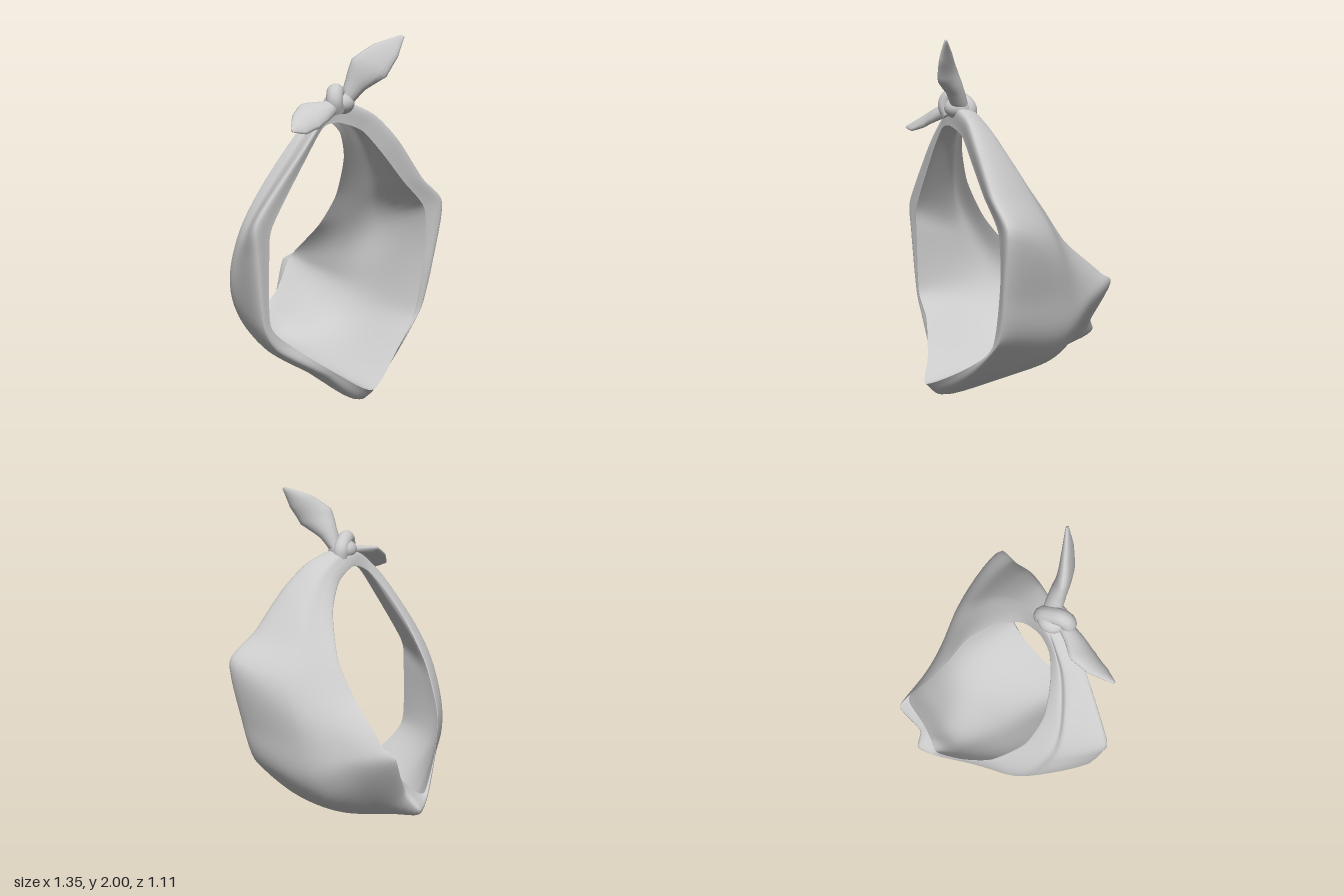
import * as THREE from 'three';

const V = (x, y, z) => new THREE.Vector3(x, y, z);
const cloth = new THREE.MeshStandardMaterial({ color: 0xcccccc, side: THREE.DoubleSide });

const toPoints = (n) => {
  const out = [];
  for (let i = 0; i < n.length; i += 3) out.push(V(n[i], n[i + 1], n[i + 2]));
  return out;
};

// Skins a list of closed rings that share one point count
function loft(rings) {
  const n = rings[0].length, pos = [], idx = [];
  rings.forEach((r) => r.forEach((p) => pos.push(p.x, p.y, p.z)));
  for (let j = 0; j < rings.length - 1; j++) {
    for (let i = 0; i < n; i++) {
      const k = (i + 1) % n, a = j * n + i, b = j * n + k;
      idx.push(a, b, a + n, b, b + n, a + n);
    }
  }
  const g = new THREE.BufferGeometry();
  g.setAttribute('position', new THREE.Float32BufferAttribute(pos, 3));
  g.setIndex(idx);
  g.computeVertexNormals();
  return g;
}

// Control rings, running from the top round the left side to the bottom and back
const HEM = toPoints([
  -.1, 1.54, .35, .06, 1.49, .35, .2, 1.36, .36, .36, 1.19, .365,
  .53, 1.02, .365, .54, .75, .36, .46, .4, .365, .27, .24, .43,
  -.02, .09, .55, -.2, .19, .46, -.43, .36, .37, -.57, .5, .36,
  -.58, .87, .365, -.56, 1.03, .37, -.33, 1.37, .36, -.21, 1.52, .35]);
const FRONT = toPoints([
  -.08, 1.65, .34, .14, 1.58, .35, .31, 1.43, .37, .5, 1.2, .375,
  .665, 1.045, .375, .605, .7, .365, .53, .44, .355, .29, .21, .4,
  -.03, .01, .45, -.25, .17, .4, -.52, .345, .355, -.615, .5, .355,
  -.665, .88, .365, -.658, 1.06, .37, -.36, 1.41, .37, -.2, 1.58, .35]);
const MIDDLE = toPoints([
  -.08, 1.64, .25, .1, 1.56, .225, .265, 1.39, .175, .4, 1.16, .09,
  .51, .92, .01, .48, .62, -.06, .42, .38, -.1, .25, .2, -.08,
  0, .11, 0, -.2, .17, -.04, -.4, .32, -.03, -.535, .52, -.02,
  -.58, .79, .07, -.545, 1.03, .16, -.35, 1.38, .25, -.2, 1.56, .26]);
const BACK = toPoints([
  -.09, 1.56, .22, .04, 1.48, .185, .15, 1.32, .09, .225, 1.08, -.07,
  .215, .88, -.22, .21, .68, -.46, .18, .61, -.555, .07, .37, -.49,
  0, .28, -.545, -.11, .33, -.47, -.26, .52, -.35, -.39, .71, -.21,
  -.45, .95, -.03, -.41, 1.18, .1, -.31, 1.38, .18, -.2, 1.52, .225]);

// Shrinks a ring towards the axis of the bag
const shrink = (ring, s) => ring.map((p) => V(-.06 + (p.x + .06) * s, .9 + (p.y - .9) * s, p.z));

const BULGE = MIDDLE.map((p, i) => {
  const q = p.clone().lerp(BACK[i], .55);
  return V(.3 + (q.x - .3) * 1.06, .8 + (q.y - .8) * 1.03, q.z);
});

// The lip stands in front of the two flared corners at the back
const LIP = shrink(BACK, .985);
LIP[6].set(.175, .62, -.49);
LIP[7].set(.07, .46, -.46);
LIP[8].set(-.01, .385, -.455);
LIP[9].set(-.1, .345, -.455);

// One layer of cloth drawn smoothly through control rings
function layerGeometry(rings) {
  const around = rings.map((r) => {
    // Open edges keep their corners, the belly of the bag is rounder
    const tension = r === HEM || r === FRONT || r === BACK || r === LIP ? .35 : .55;
    const c = new THREE.CatmullRomCurve3(r, true, 'catmullrom', tension);
    return Array.from({ length: 96 }, (_, i) => c.getPoint(i / 96));
  });
  const steps = (rings.length - 1) * 7;
  const along = around[0].map((_, i) =>
    new THREE.CatmullRomCurve3(around.map((r) => r[i]), false, 'centripetal').getPoints(steps));
  return loft(Array.from({ length: steps + 1 }, (_, j) => along.map((l) => l[j])));
}

// Leaf-shaped cloth end: a centre line, its half-width direction, widths and thickness
function earGeometry(path, side, widths, thickness) {
  const curve = new THREE.CatmullRomCurve3(toPoints(path));
  const w = V(...side).normalize(), rings = [], steps = 20;
  for (let j = 0; j <= steps; j++) {
    const t = j / steps, c = curve.getPoint(t);
    const n = curve.getTangent(t).cross(w).normalize();
    const f = t * (widths.length - 1), k = Math.min(Math.floor(f), widths.length - 2);
    const half = THREE.MathUtils.lerp(widths[k], widths[k + 1], f - k);
    const thick = thickness * (1 - .85 * t * t);
    rings.push(Array.from({ length: 14 }, (_, i) => {
      const a = i / 14 * Math.PI * 2;
      const cup = .12 * half * Math.cos(a) ** 2;
      return c.clone().addScaledVector(w, half * Math.cos(a))
        .addScaledVector(n, thick * Math.sin(a) + cup);
    }));
  }
  const tip = curve.getPoint(1);
  rings.push(rings[steps].map(() => tip.clone()));
  return loft(rings);
}

export function createModel() {
  const group = new THREE.Group();
  const add = (name, geometry) => {
    const m = new THREE.Mesh(geometry, cloth);
    m.name = name;
    group.add(m);
    return m;
  };

  // Bag: outer cloth with the folded front hem, and the lining inside it
  add('outerCloth', layerGeometry([HEM, FRONT, MIDDLE, BULGE, BACK, LIP]));
  add('lining', layerGeometry([LIP, shrink(BULGE, .96), shrink(MIDDLE, .95), HEM]));

  // Knot: a core with one strand laid diagonally over it
  const core = add('knotCore', new THREE.SphereGeometry(1, 24, 16));
  core.scale.set(.085, .065, .085);
  core.position.set(-.07, 1.64, .305);
  const strand = new THREE.CatmullRomCurve3(toPoints([
    -.12, 1.6, .34, -.14, 1.655, .355, -.12, 1.703, .335,
    -.07, 1.685, .295, -.03, 1.64, .265, -.03, 1.58, .27]));
  add('knotStrand', new THREE.TubeGeometry(strand, 28, .046, 12, false));

  // Tied ends
  add('upperEar', earGeometry(
    [-.03, 1.65, .32, 0, 1.74, .36, .045, 1.83, .42, .12, 1.92, .465, .205, 2, .505],
    [-.135, .1, -.14], [.035, .06, .105, .075, .012], .05));
  add('lowerEar', earGeometry(
    [-.12, 1.63, .34, -.22, 1.61, .36, -.31, 1.59, .365, -.41, 1.55, .405, -.495, 1.52, .45],
    [0, .06, -.08], [.035, .07, .1, .075, .012], .034));

  return group;
}
